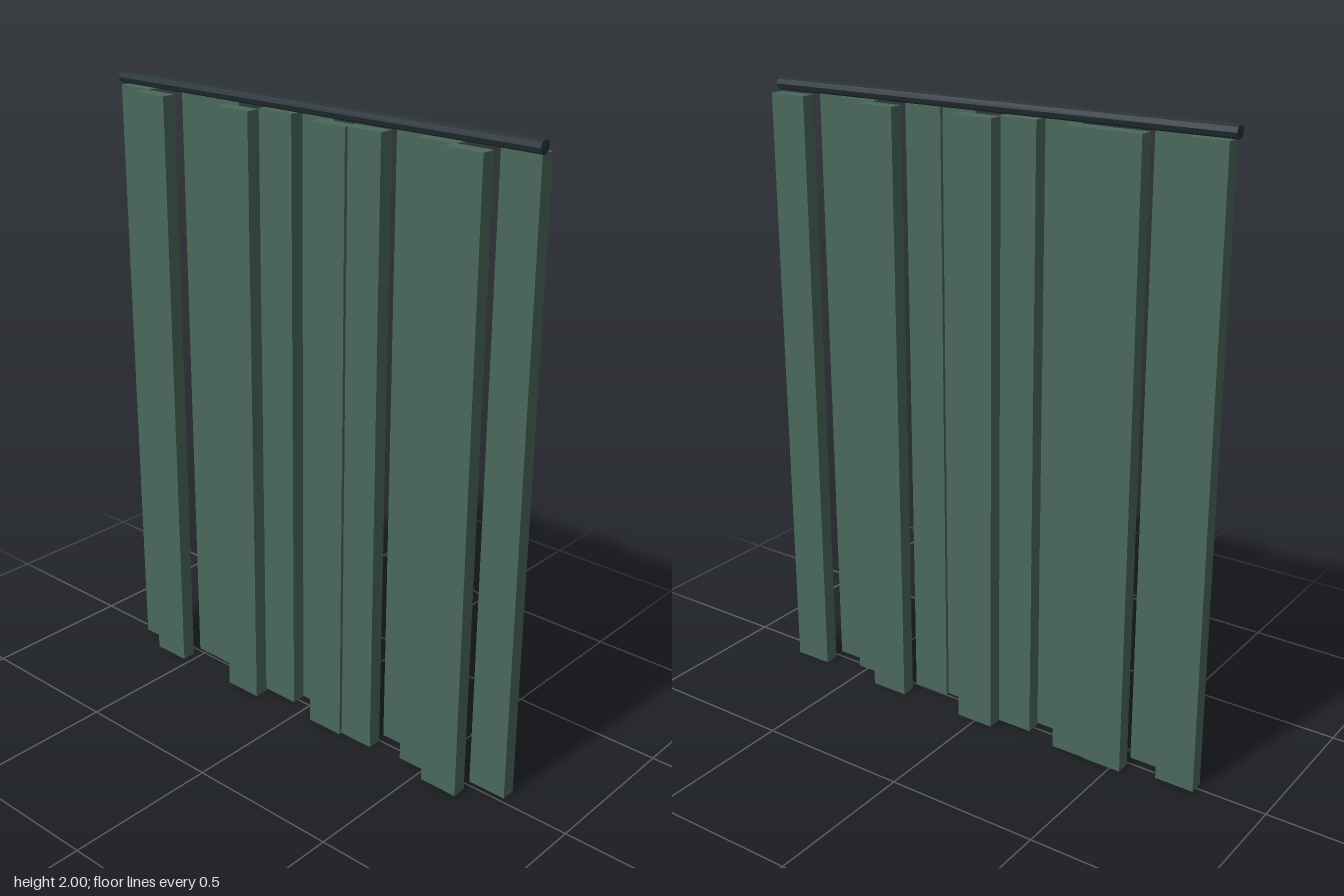
import * as THREE from 'three';

export function createModel() {
  const group = new THREE.Group();
  const green = new THREE.MeshStandardMaterial({ color: 0x4a685c });
  green.name = 'slatGreen';
  const dark = new THREE.MeshStandardMaterial({ color: 0x263238, flatShading: true });
  dark.name = 'railDark';

  // Round rail along the top
  const rail = new THREE.Mesh(new THREE.CylinderGeometry(0.02, 0.02, 1.575, 8), dark);
  rail.name = 'rail';
  rail.rotation.z = Math.PI / 2;
  rail.position.y = 1.98;
  group.add(rail);

  // Hanging slats, slightly overlapping and staggered in depth
  const depths = [0, 0.053, -0.035, -0.032, 0.054, -0.003, -0.053, 0.037, 0.026, -0.055, 0.008, 0.05, -0.04];
  const slatGeometry = new THREE.BoxGeometry(0.128, 1.958, 0.047);
  const pitch = 0.1177;
  depths.forEach((z, i) => {
    const slat = new THREE.Mesh(slatGeometry, green);
    slat.name = `slat${i + 1}`;
    slat.position.set((i - (depths.length - 1) / 2) * pitch, 0.979, z);
    group.add(slat);
  });

  return group;
}
